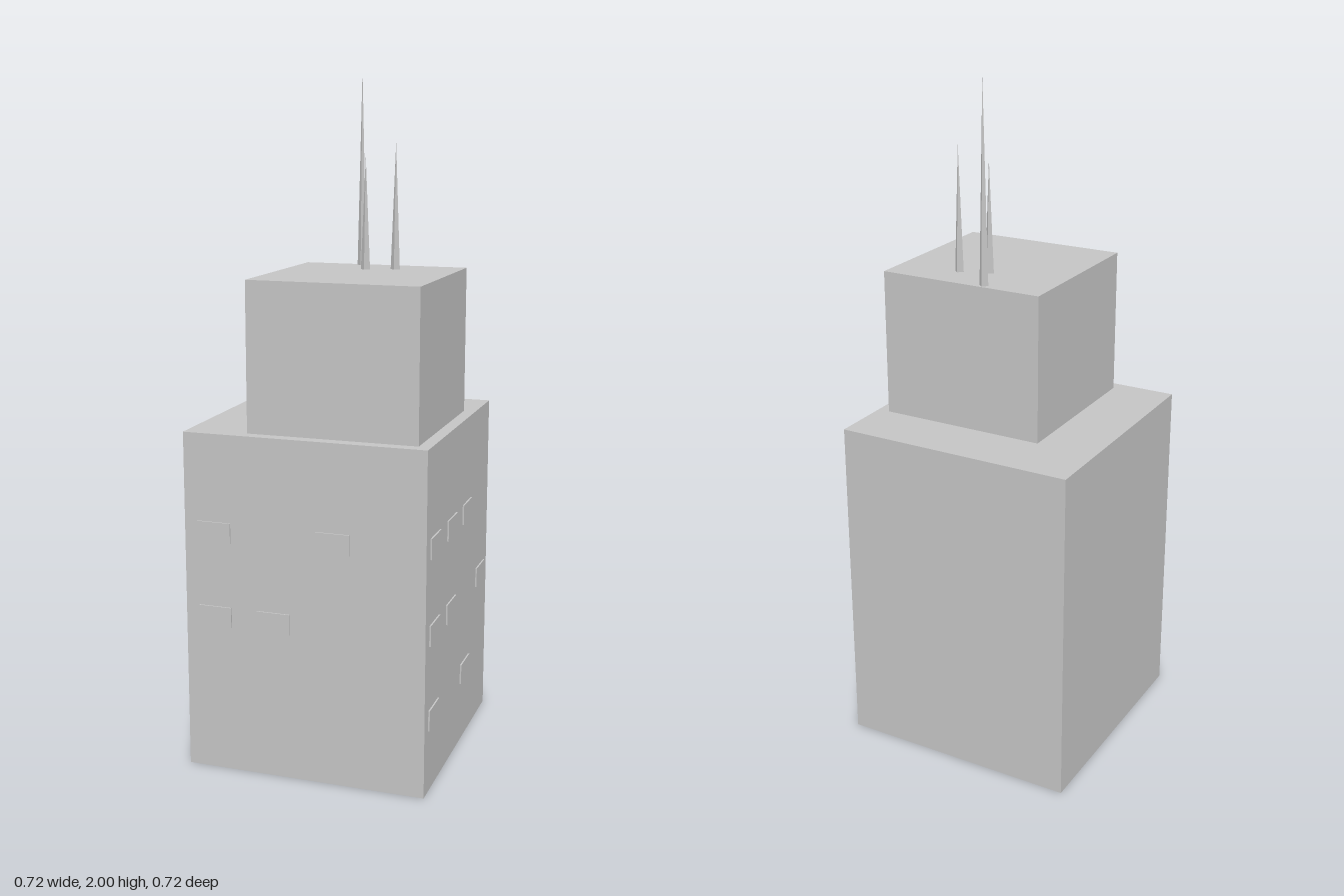
import * as THREE from 'three';

export function createModel() {
  const model = new THREE.Group();
  model.name = 'tower';
  const concrete = new THREE.MeshStandardMaterial({ name: 'concrete grey', color: 0xc4c4c4, flatShading: true });

  const add = (name, geometry, x, y, z) => {
    const mesh = new THREE.Mesh(geometry, concrete);
    mesh.name = name;
    mesh.position.set(x, y, z);
    model.add(mesh);
    return mesh;
  };

  // Main block and the smaller upper block set towards the front left
  add('mainBlock', new THREE.BoxGeometry(0.713, 1, 0.713), -0.003, 0.5, -0.003);
  add('upperBlock', new THREE.BoxGeometry(0.498, 0.43, 0.498), 0.069, 1.215, 0.068);

  // Four-sided roof spires: x, z, tip height
  const roof = 1.43;
  for (const [x, z, tip] of [[0, -0.163, 2], [0.048, -0.048, 1.755], [0.13, -0.077, 1.795]]) {
    add('spire', new THREE.ConeGeometry(0.014, tip - roof, 4), x, (roof + tip) / 2, z);
  }

  // Thin window plates: position along the face, height
  const wall = 0.3535;
  const columns = [-0.27, -0.092, 0.085, 0.265];
  const rows = [0.215, 0.465, 0.715];
  const plate = new THREE.BoxGeometry(0.1, 0.06, 0.009);
  for (const [c, r] of [[0, 2], [2, 2], [0, 1], [1, 1]]) {
    add('frontWindow', plate, columns[c], rows[r], wall);
  }
  for (const [c, r] of [[3, 2], [2, 2], [1, 2], [3, 1], [2, 1], [0, 1], [3, 0], [1, 0]]) {
    add('sideWindow', plate, wall, rows[r], columns[c]).rotation.y = Math.PI / 2;
  }
  return model;
}
